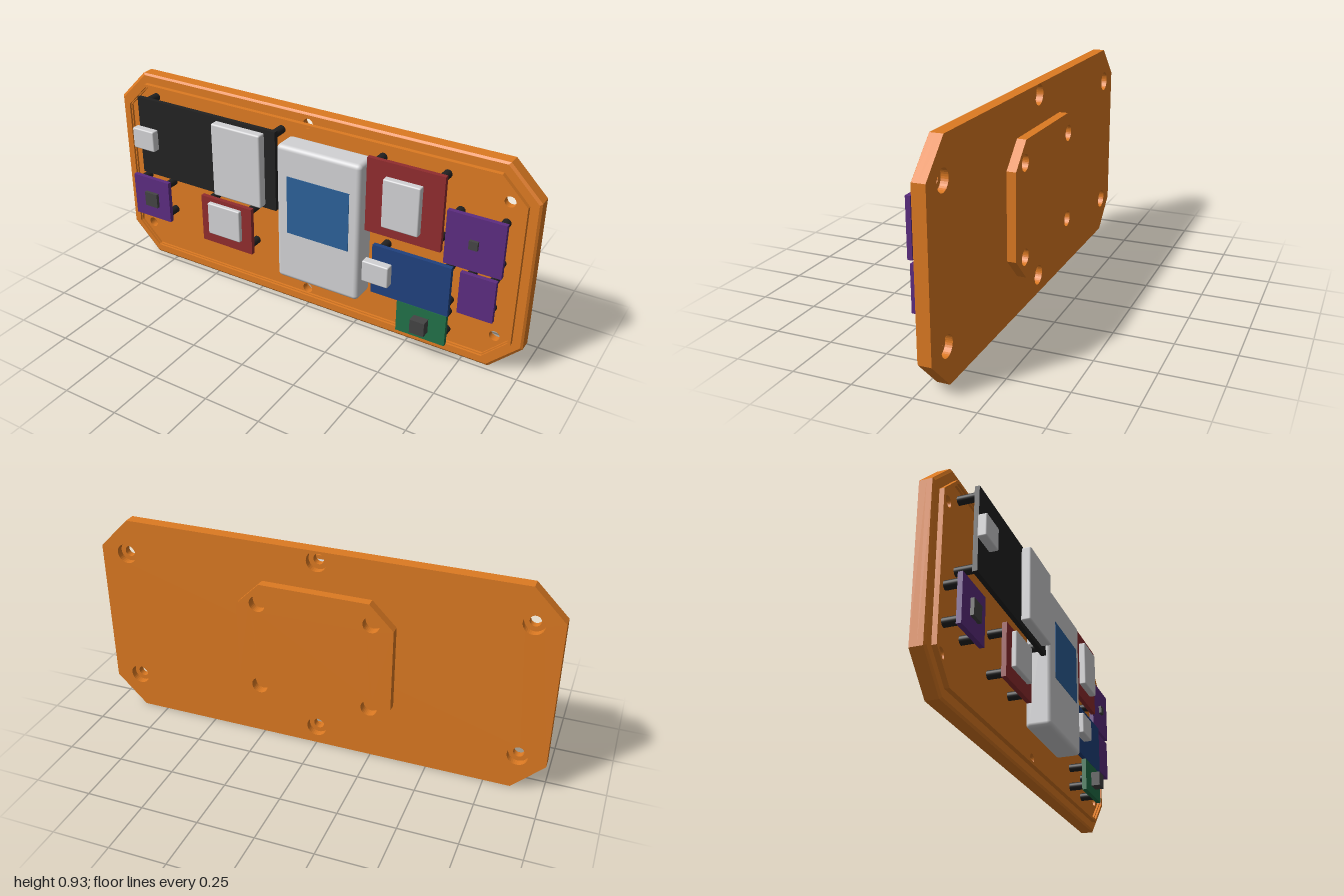
import * as THREE from 'three';
import { RoundedBoxGeometry } from 'three/addons/geometries/RoundedBoxGeometry.js';

const mat = (name, color) => {
  const m = new THREE.MeshStandardMaterial({ color });
  m.name = name;
  return m;
};

const CY = 0.466; // height of the plate centre

// Octagon: rectangle with cut corners
function octagon(hw, hh, cut, Type = THREE.Shape) {
  const pts = [
    [hw, hh - cut], [hw - cut, hh], [-hw + cut, hh], [-hw, hh - cut],
    [-hw, -hh + cut], [-hw + cut, -hh], [hw - cut, -hh], [hw, -hh + cut],
  ];
  return new Type(pts.map(([x, y]) => new THREE.Vector2(x, y + CY)));
}

function drill(shape, centres, r) {
  for (const [x, y] of centres) {
    const p = new THREE.Path();
    p.absarc(x, y, r, 0, Math.PI * 2, true);
    shape.holes.push(p);
  }
  return shape;
}

function slab(shape, z0, z1) {
  const g = new THREE.ExtrudeGeometry(shape, { depth: z1 - z0, bevelEnabled: false, curveSegments: 16 });
  return g.translate(0, 0, z0);
}

export function createModel() {
  const orange = mat('orange plastic', 0xdd7a22);
  const grey = mat('light grey', 0xd2d2d4);
  const black = mat('black', 0x222222);
  const chipGrey = mat('chip grey', 0x444444);
  const red = mat('board red', 0x902c2e);
  const purple = mat('board purple', 0x5c2c80);
  const navy = mat('board blue', 0x20417e);
  const green = mat('board green', 0x217048);
  const screenBlue = mat('screen blue', 0x2c6199);

  const model = new THREE.Group();
  const add = (name, geo, material, parent = model) => {
    const m = new THREE.Mesh(geo, material);
    m.name = name;
    parent.add(m);
    return m;
  };

  // Lid plate: counterbored back layer, narrow-holed middle, bevelled front edge
  const screws = [[0.88, 0.775], [-0.88, 0.775], [0.88, 0.16], [-0.88, 0.16], [0, 0.885], [0, 0.083]];
  const FLOOR = -0.02;
  add('plateBack', slab(drill(octagon(1, CY, 0.135), screws, 0.044), -0.08, -0.05), orange);
  add('plateMiddle', slab(drill(octagon(1, CY, 0.135), screws, 0.023), -0.05, -0.027), orange);
  const front = slab(drill(octagon(1, CY, 0.135), screws, 0.023), -0.027, FLOOR);
  const pos = front.attributes.position;
  for (let i = 0; i < pos.count; i++) {
    const x = pos.getX(i), y = pos.getY(i) - CY;
    const onRim = Math.abs(x) > 0.99 || Math.abs(y) > 0.455;
    if (onRim && pos.getZ(i) > -0.0235) pos.setXY(i, x * 0.991, y * 0.981 + CY);
  }
  front.computeVertexNormals();
  add('plateFront', front, orange);

  // Raised sealing lip with a lower inner step
  const ring = (o, i, z1) => {
    const s = octagon(1 - o, CY - o, 0.135 - o * 0.55);
    s.holes.push(octagon(1 - i, CY - i, 0.135 - i * 0.55, THREE.Path));
    return slab(s, FLOOR, z1);
  };
  add('sealingLip', ring(0.044, 0.056, 0), orange);
  add('lipStep', ring(0.056, 0.061, -0.01), orange);

  // Mounting boss on the back with four blind holes
  const mounts = [[0.25, 0.667], [-0.25, 0.667], [0.25, 0.267], [-0.25, 0.267]];
  add('mountingBoss', slab(drill(octagon(0.345, 0.293, 0.105), mounts, 0.036), -0.12, -0.08), orange);

  // Box given by its limits
  const block = (name, [x0, x1, y0, y1, z0, z1], material, parent, r = 0) => {
    const size = [x1 - x0, y1 - y0, z1 - z0];
    const geo = r ? new RoundedBoxGeometry(...size, 3, r) : new THREE.BoxGeometry(...size);
    return add(name, geo.translate((x0 + x1) / 2, (y0 + y1) / 2, (z0 + z1) / 2), material, parent);
  };

  // Circuit board on four corner posts
  const post = (x, y, z1) => new THREE.CylinderGeometry(0.018, 0.018, z1 - FLOOR, 20)
    .rotateX(Math.PI / 2).translate(x, y, (z1 + FLOOR) / 2);
  function board(name, x0, x1, y0, y1, z0, material) {
    const g = new THREE.Group();
    g.name = name;
    model.add(g);
    block('circuitBoard', [x0, x1, y0, y1, z0, z0 + 0.02], material, g);
    for (const x of [x0 + 0.028, x1 - 0.028])
      for (const y of [y0 + 0.028, y1 - 0.028]) add('post', post(x, y, z0), black, g);
    return g;
  }

  const main = board('mainBoard', -0.823, -0.1, 0.495, 0.86, 0.057, black);
  block('largeModule', [-0.395, -0.15, 0.51, 0.847, 0.077, 0.12], grey, main, 0.008);
  block('connector', [-0.835, -0.72, 0.628, 0.725, 0.077, 0.115], grey, main, 0.006);

  const redA = board('upperRedBoard', 0.32, 0.653, 0.525, 0.853, 0.045, red);
  block('shield', [0.406, 0.567, 0.58, 0.794, 0.065, 0.097], grey, redA, 0.006);

  const redB = board('lowerRedBoard', -0.508, -0.24, 0.225, 0.452, 0.045, red);
  block('shield', [-0.46, -0.289, 0.281, 0.436, 0.065, 0.088], grey, redB, 0.006);

  const purpleA = board('rightPurpleBoard', 0.663, 0.904, 0.478, 0.713, 0.033, purple);
  block('chip', [0.765, 0.802, 0.578, 0.615, 0.053, 0.066], chipGrey, purpleA);

  board('smallPurpleBoard', 0.738, 0.888, 0.268, 0.457, 0.033, purple);

  const purpleC = board('leftPurpleBoard', -0.903, -0.703, 0.25, 0.452, 0.04, purple);
  block('chip', [-0.834, -0.765, 0.313, 0.382, 0.06, 0.075], chipGrey, purpleC);

  const blue = board('blueBoard', 0.358, 0.706, 0.24, 0.468, 0.045, navy);
  block('connector', [0.332, 0.452, 0.307, 0.404, 0.065, 0.105], grey, blue, 0.006);

  const greenBoard = board('greenBoard', 0.481, 0.702, 0.092, 0.238, 0.045, green);
  block('chip', [0.561, 0.626, 0.133, 0.197, 0.065, 0.105], chipGrey, greenBoard);

  // Display unit with a thin screen plate
  const display = new THREE.Group();
  display.name = 'displayUnit';
  model.add(display);
  block('housing', [-0.085, 0.31, 0.187, 0.82, FLOOR, 0.095], grey, display, 0.02);
  block('screen', [-0.032, 0.262, 0.42, 0.687, 0.09, 0.097], screenBlue, display);

  return model;
}
